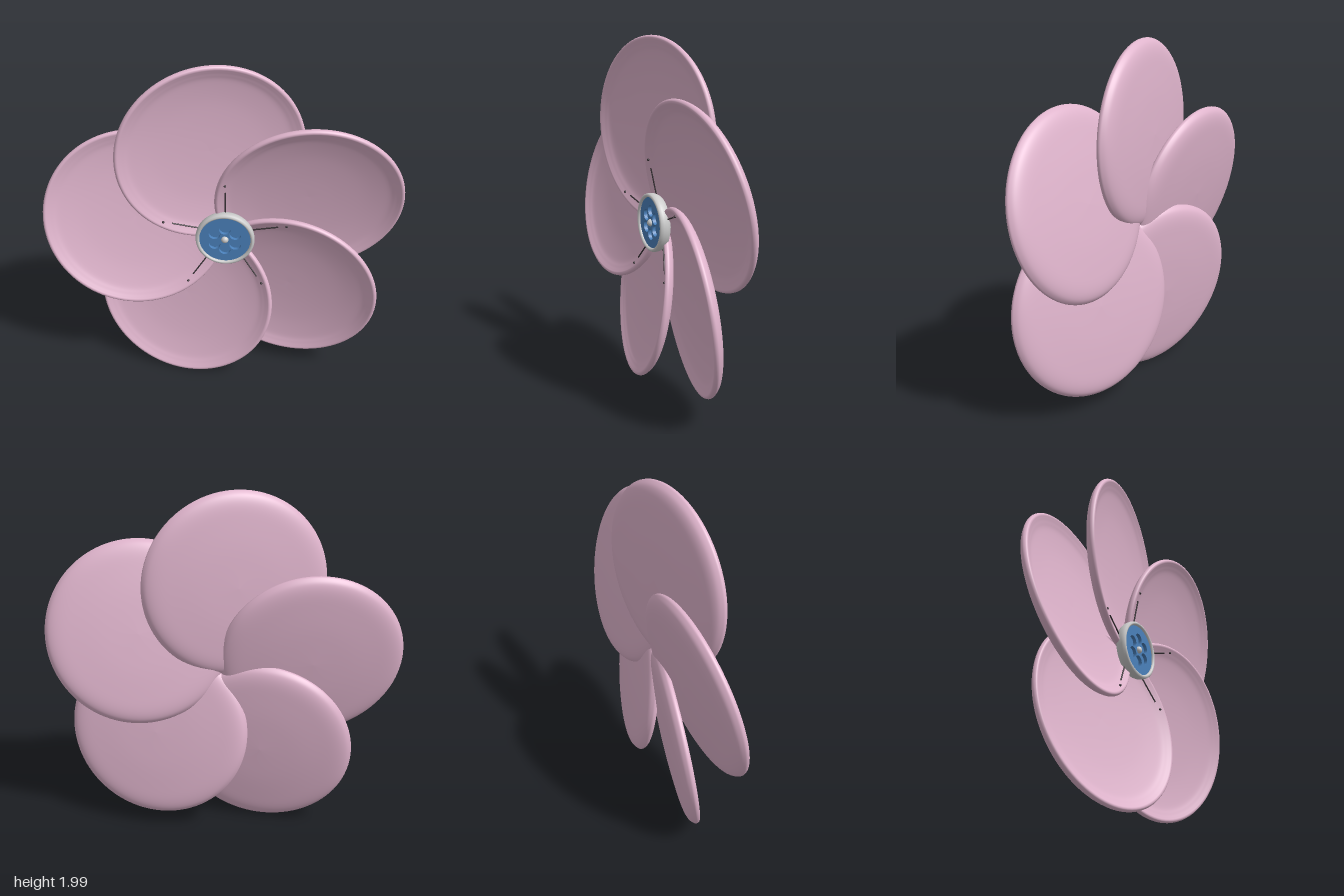
import * as THREE from 'three';

const mat = (color) => new THREE.MeshStandardMaterial({ color });

export function createModel() {
  const model = new THREE.Group();
  const flower = new THREE.Group();
  flower.name = 'flower';
  flower.position.set(0.02, 0.973, 0);
  model.add(flower);

  const pink = mat(0xdfb4cc), blue = mat(0x4a80ba), grey = mat(0xcccccc), dark = mat(0x3a3438);
  const add = (parent, name, geometry, material) => {
    const mesh = new THREE.Mesh(geometry, material);
    mesh.name = name;
    parent.add(mesh);
    return mesh;
  };
  // Lathe turned so its axis points to the front
  const lathe = (points, segments) => new THREE.LatheGeometry(points, segments).rotateX(Math.PI / 2);
  const v2 = (list) => list.map(([r, z]) => new THREE.Vector2(r, z));

  // Petals: shallow dishes with a slim rounded rim, the rim passing through the centre
  const section = new THREE.SplineCurve(v2([
    [0, -0.068], [0.2, -0.063], [0.35, -0.053], [0.44, -0.043], [0.49, -0.027],
    [0.514, -0.004], [0.518, 0.01], [0.512, 0.022], [0.502, 0.025], [0.489, 0.02],
    [0.465, 0.01], [0.42, -0.004], [0.3, -0.022], [0.15, -0.032], [0, -0.035],
  ])).getPoints(70);
  section[0].x = section[section.length - 1].x = 0;
  // Each petal twists about its own radius so neighbours overlap, and its tip leans forward
  const petalGeometry = lathe(section, 96).rotateX(0.222).rotateY(-0.045).translate(0.512, 0, 0);
  for (let i = 0; i < 5; i++) {
    const petal = add(flower, `petal${i + 1}`, petalGeometry, pink);
    petal.rotation.z = THREE.MathUtils.degToRad(27 + 72 * i);
  }

  // Stamens: thin filaments lying on the petals, with a small bead beyond the end
  for (let i = 0; i < 5; i++) {
    const stamen = new THREE.Group();
    stamen.name = `stamen${i + 1}`;
    stamen.rotation.z = THREE.MathUtils.degToRad(18 + 72 * i);
    flower.add(stamen);
    const path = new THREE.LineCurve3(new THREE.Vector3(0.13, 0, 0.022), new THREE.Vector3(0.31, 0, 0.061));
    add(stamen, 'filament', new THREE.TubeGeometry(path, 1, 0.004, 8), dark);
    add(stamen, 'bead', new THREE.SphereGeometry(0.007, 12, 8), dark).position.set(0.357, 0, 0.076);
  }

  // Hub: a rounded cup holding the centre disc
  const hub = new THREE.Group();
  hub.name = 'hub';
  flower.add(hub);
  add(hub, 'hubCup', lathe(v2([
    [0, 0], [0.13, 0], [0.152, 0.012], [0.163, 0.033], [0.166, 0.055],
    [0.163, 0.07], [0.155, 0.077], [0.147, 0.074], [0.143, 0.066], [0.143, 0.03], [0, 0.03],
  ]), 64), grey);

  // Centre disc with a ring of six round wells over a floor
  const disc = new THREE.Shape().absarc(0, 0, 0.144, 0, Math.PI * 2);
  for (let i = 0; i < 6; i++) {
    const a = Math.PI / 2 + i * Math.PI / 3;
    disc.holes.push(new THREE.Path().absarc(0.067 * Math.cos(a), 0.067 * Math.sin(a), 0.0325, 0, Math.PI * 2, true));
  }
  const discGeometry = new THREE.ExtrudeGeometry(disc, { depth: 0.024, bevelEnabled: false, curveSegments: 32 });
  add(hub, 'centreDisc', discGeometry, blue).position.z = 0.04;
  add(hub, 'wellFloor', new THREE.CircleGeometry(0.142, 48), blue).position.z = 0.044;
  add(hub, 'centreBead', new THREE.SphereGeometry(0.021, 24, 16), grey).position.z = 0.062;

  return model;
}
